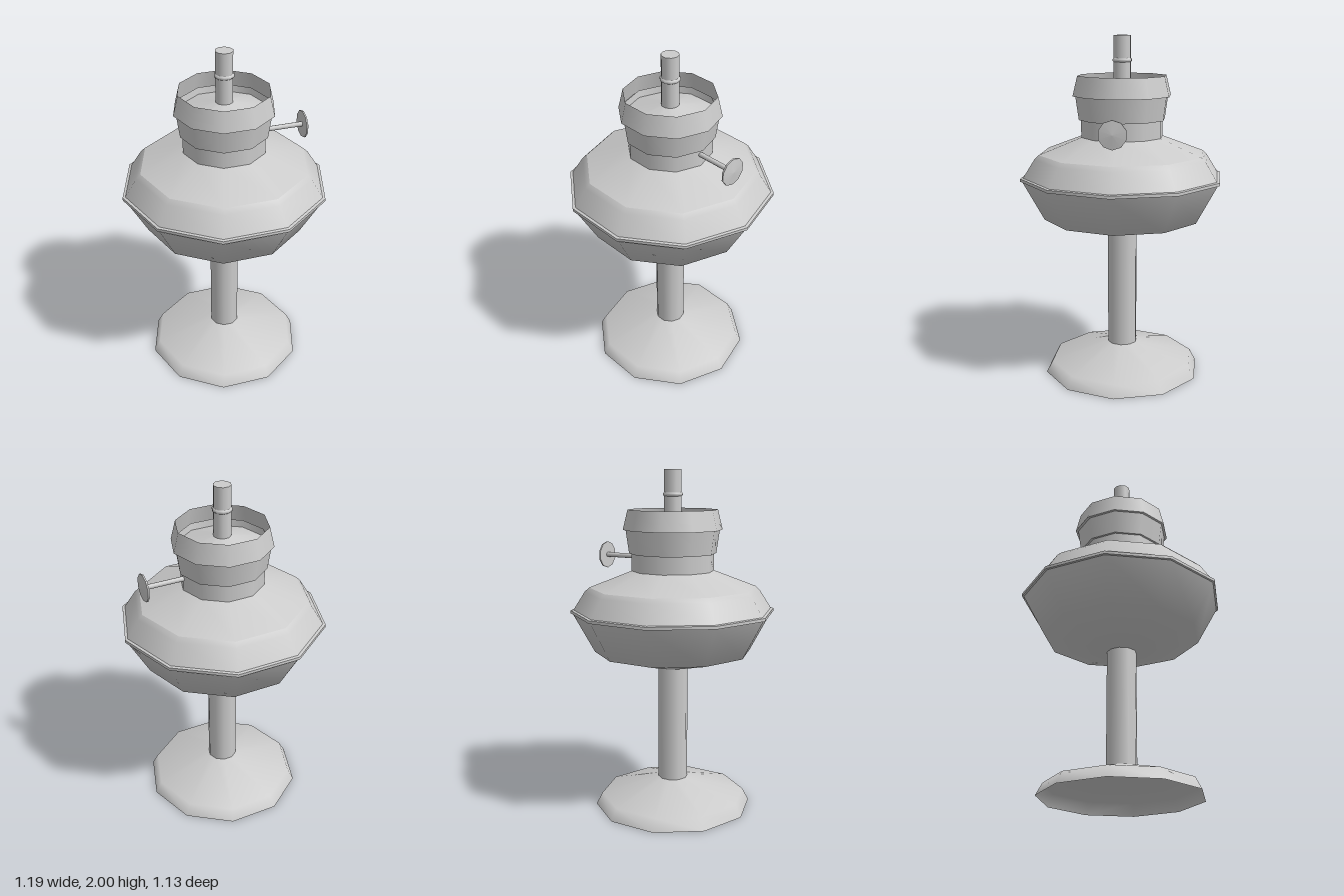
import * as THREE from 'three';

const SIDES = 10;
const material = new THREE.MeshStandardMaterial({ color: 0xcccccc, side: THREE.DoubleSide });

// Ten-sided turned part with corners on the x axis. Each profile is a list of
// [radius, height] points shaded smoothly; separate profiles meet at a sharp edge.
function turned(name, ...profiles) {
  const part = new THREE.Group();
  part.name = name;
  profiles.forEach((profile, i) => {
    const points = profile.map(([r, y]) => new THREE.Vector2(r, y));
    const mesh = new THREE.Mesh(new THREE.LatheGeometry(points, SIDES, Math.PI / 2), material);
    mesh.name = `${name}Surface${i + 1}`;
    part.add(mesh);
  });
  return part;
}

export function createModel() {
  const model = new THREE.Group();
  model.name = 'oilLamp';

  // Hollow foot and the stem standing on it
  model.add(turned('foot', [[0.467, 0], [0.43, 0.07], [0.087, 0.17]]));
  model.add(turned('stem', [[0, 0.17], [0.087, 0.17]], [[0.087, 0.17], [0.087, 0.86]]));

  // Fuel bowl: lower shell, seam, upper shell and sloping shoulder
  model.add(turned('bowl',
    [[0.08, 0.852], [0.46, 0.95], [0.585, 1.178]],
    [[0.585, 1.178], [0.596, 1.18]],
    [[0.596, 1.18], [0.596, 1.197]],
    [[0.596, 1.197], [0.58, 1.2]],
    [[0.58, 1.2], [0.513, 1.305], [0.487, 1.33]],
    [[0.487, 1.33], [0.24, 1.425]]));

  // Burner neck with its flared sleeve
  model.add(turned('neck', [[0.24, 1.42], [0.24, 1.53]]));
  model.add(turned('sleeve',
    [[0.24, 1.525], [0.253, 1.525]],
    [[0.253, 1.525], [0.272, 1.66]]));

  // Open crown and the shallow conical plate inside it
  model.add(turned('crown',
    [[0.27, 1.66], [0.288, 1.66]],
    [[0.288, 1.66], [0.26, 1.775]]));
  model.add(turned('burnerPlate',
    [[0.272, 1.66], [0.255, 1.69]],
    [[0.255, 1.69], [0.25, 1.65]],
    [[0.25, 1.65], [0.04, 1.71]]));

  // Wick tube with a thin ring
  model.add(turned('wickTube', [[0.05, 1.69], [0.05, 2]], [[0.05, 2], [0, 2]]));
  model.add(turned('wickRing', [[0.05, 1.85], [0.057, 1.856], [0.057, 1.866], [0.05, 1.872]]));

  // Wick adjuster: rod and knob on the left side, built upright then laid along x
  const adjuster = new THREE.Group();
  adjuster.name = 'wickAdjuster';
  adjuster.add(turned('adjusterRod', [[0.014, 0.2], [0.014, 0.468]]));
  adjuster.add(turned('adjusterKnob',
    [[0, 0.465], [0.079, 0.465]],
    [[0.079, 0.465], [0.079, 0.474]],
    [[0.079, 0.474], [0, 0.482]]));
  adjuster.rotation.z = -Math.PI / 2;
  adjuster.position.y = 1.495;
  model.add(adjuster);

  return model;
}
